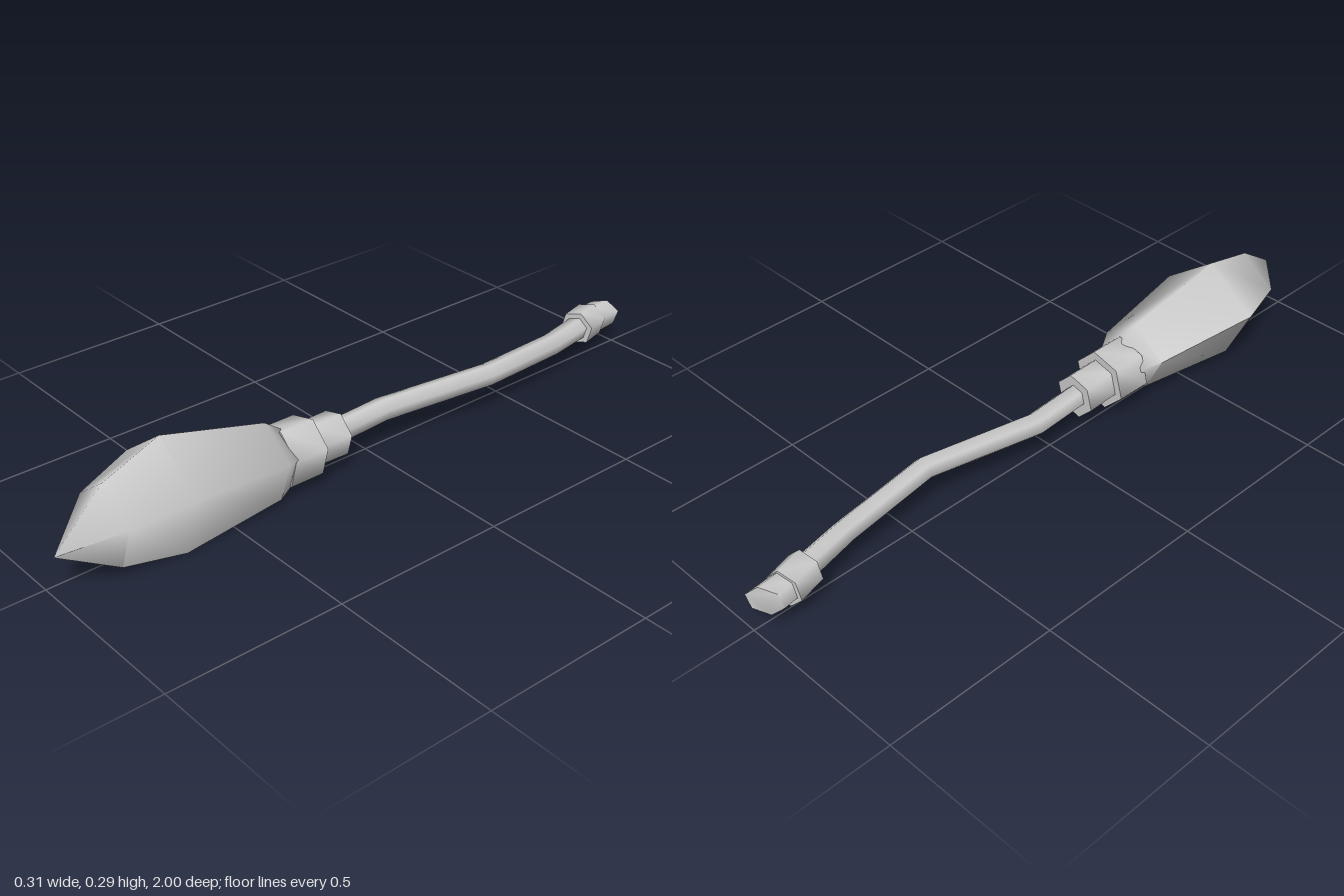
import * as THREE from 'three';
import { toCreasedNormals } from 'three/addons/utils/BufferGeometryUtils.js';

const material = new THREE.MeshStandardMaterial({ color: 0xcccccc });

// Regular unit polygon, counter-clockwise seen from +z
function polygon(sides, turn) {
  return Array.from({ length: sides }, (_, i) => {
    const a = turn + (i / sides) * Math.PI * 2;
    return [Math.cos(a), Math.sin(a)];
  });
}

// Skins an outline along sections [x, y, z, scale, slant] ordered from back to front
function loft(name, outline, sections) {
  const n = outline.length, pos = [], idx = [];
  for (const [x, y, z, s, slant = 0] of sections)
    for (const [px, py] of outline) pos.push(x + px * s, y + py * s, z + px * s * slant);
  for (let i = 0; i < sections.length - 1; i++)
    for (let j = 0; j < n; j++) {
      const a = i * n + j, b = i * n + (j + 1) % n;
      idx.push(a, b, b + n, a, b + n, a + n);
    }
  // End caps as fans
  const last = (sections.length - 1) * n;
  for (let j = 1; j < n - 1; j++) {
    idx.push(0, j + 1, j);
    idx.push(last, last + j, last + j + 1);
  }
  const geometry = new THREE.BufferGeometry();
  geometry.setAttribute('position', new THREE.Float32BufferAttribute(pos, 3));
  geometry.setIndex(idx);
  const mesh = new THREE.Mesh(toCreasedNormals(geometry, 1.3), material);
  mesh.name = name;
  return mesh;
}

export function createModel() {
  const group = new THREE.Group();
  group.name = 'broom';
  const hex = polygon(6, 0.26);

  // Lopsided five-sided brush head, bulging and then drawn to a point
  const brush = [[0.155, 0.045], [0.094, -0.136], [-0.076, -0.112], [-0.155, 0.047], [0, 0.159]].reverse();
  group.add(loft('bristles', brush, [
    [0.015, 0.108, 0.3, 0.5],
    [0.015, 0.115, 0.35, 0.68],
    [0, 0.138, 0.655, 1],
    [0.02, 0.132, 0.835, 0.7],
    [0.06, 0.127, 1, 0.002],
  ]));

  // Stepped binding between brush and handle
  group.add(loft('largeBinding', hex, [
    [0.015, 0.106, 0.21, 0.087], [0.015, 0.106, 0.315, 0.087],
  ]));
  group.add(loft('smallBinding', hex, [
    [0.013, 0.103, 0.11, 0.065], [0.015, 0.105, 0.22, 0.063],
  ]));

  // Crooked handle
  group.add(loft('handle', hex, [
    [-0.005, 0.098, -0.86, 0.035, -0.25],
    [0.03, 0.102, -0.69, 0.033, -0.15],
    [0.06, 0.117, -0.4, 0.033],
    [0, 0.105, -0.06, 0.034],
    [0.012, 0.105, 0.13, 0.034],
  ]));

  // Tilted ring and obliquely cut butt at the far end
  group.add(loft('endRing', hex, [
    [-0.022, 0.096, -0.915, 0.052, -0.25], [0, 0.098, -0.833, 0.052, -0.25],
  ]));
  group.add(loft('handleButt', hex, [
    [-0.024, 0.097, -0.974, 0.044, -0.6], [-0.015, 0.097, -0.9, 0.044, -0.25],
  ]));
  return group;
}
